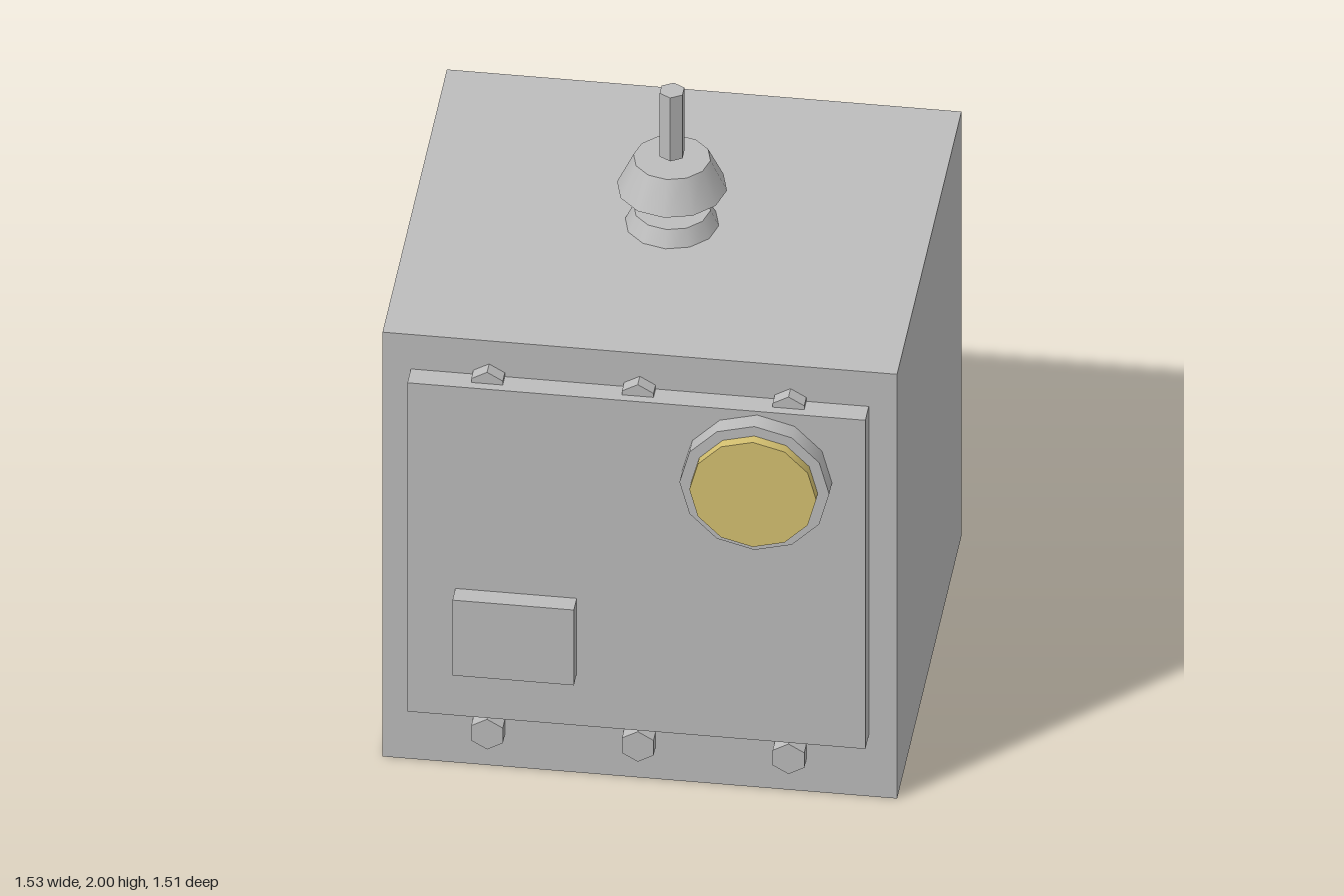
import * as THREE from 'three';

export function createModel() {
  const group = new THREE.Group();
  const grey = new THREE.MeshStandardMaterial({ color: 0xbcbcbc });
  grey.name = 'paintedMetal';
  const yellow = new THREE.MeshStandardMaterial({ color: 0xd4c070 });
  yellow.name = 'yellowGlass';

  function add(name, geometry, material) {
    const mesh = new THREE.Mesh(geometry, material);
    mesh.name = name;
    group.add(mesh);
    return mesh;
  }

  // Box given by its lower and upper limits on each axis
  function box(name, [x0, x1], [y0, y1], [z0, z1]) {
    const g = new THREE.BoxGeometry(x1 - x0, y1 - y0, z1 - z0);
    g.translate((x0 + x1) / 2, (y0 + y1) / 2, (z0 + z1) / 2);
    return add(name, g, grey);
  }

  // Upright cylinder or cone between two heights
  function upright(name, rTop, rBottom, y0, y1, sides, z) {
    const g = new THREE.CylinderGeometry(rTop, rBottom, y1 - y0, sides);
    g.translate(0, (y0 + y1) / 2, z);
    return add(name, g, grey);
  }

  // Cylinder lying along z, facing the front
  function facing(name, r, sides, x, y, z0, z1, material) {
    const g = new THREE.CylinderGeometry(r, r, z1 - z0, sides);
    g.rotateX(Math.PI / 2);
    g.translate(x, y, (z0 + z1) / 2);
    return add(name, g, material);
  }

  // Flat normals for the six-sided parts
  function flatten(mesh) {
    mesh.geometry = mesh.geometry.toNonIndexed();
    mesh.geometry.computeVertexNormals();
  }

  // Cabinet, front cover and raised block
  const front = 0.592, cover = 0.663;
  box('cabinet', [-0.763, 0.763], [0, 1.527], [-0.755, front]);
  box('frontCover', [-0.679, 0.679], [0.22, 1.403], [front, cover]);
  box('raisedBlock', [-0.537, -0.177], [0.406, 0.677], [cover, 0.723]);

  // Round window
  facing('windowRim', 0.222, 12, 0.358, 1.168, cover, 0.722, grey);
  facing('windowGlass', 0.188, 12, 0.358, 1.168, 0.722, 0.755, yellow);

  // Hexagonal bolts above and below the cover
  for (const y of [0.141, 1.39]) {
    for (const x of [-0.447, 0, 0.447]) {
      flatten(facing('bolt', 0.054, 6, x, y, front, 0.635, grey));
    }
  }

  // Insulator cones and terminal rod on the roof
  const z = -0.082;
  upright('lowerInsulator', 0.114, 0.163, 1.476, 1.579, 12, z);
  upright('upperInsulator', 0.114, 0.163, 1.656, 1.759, 12, z);
  flatten(upright('terminalRod', 0.039, 0.039, 1.772, 2, 6, z));

  return group;
}
